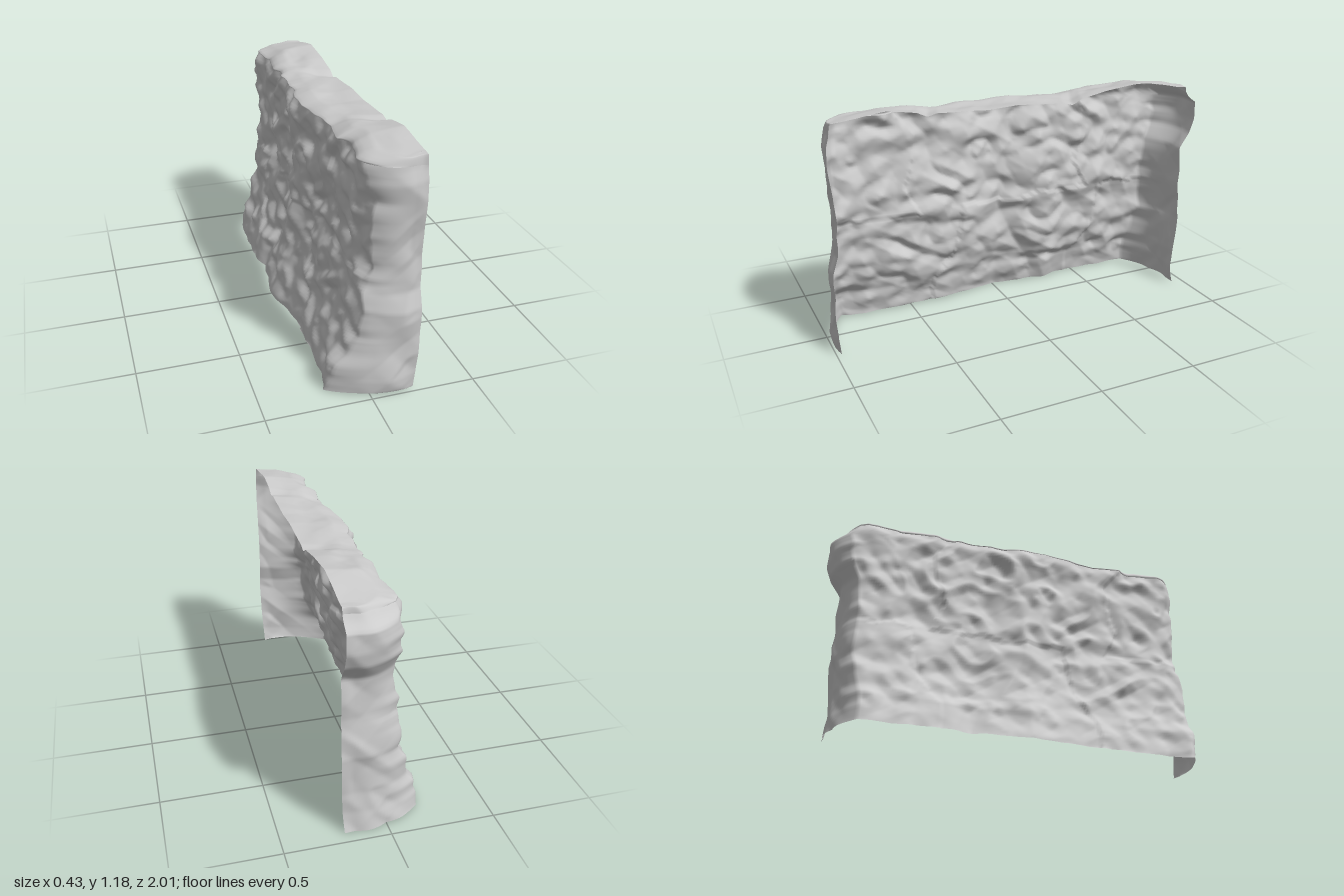
import * as THREE from 'three';

const { lerp, smoothstep } = THREE.MathUtils;

// Linear lookup in a short list of [position, value] pairs
function curve(points, t) {
  if (t <= points[0][0]) return points[0][1];
  for (let i = 1; i < points.length; i++) {
    const [a, va] = points[i - 1], [b, vb] = points[i];
    if (t <= b) return lerp(va, vb, (t - a) / (b - a));
  }
  return points[points.length - 1][1];
}

// Seeded value noise with straight interpolation, for crumpled rock facets
function hash(x, y, z) {
  const s = Math.sin(x * 127.1 + y * 311.7 + z * 74.7 + 3.1) * 43758.5453;
  return s - Math.floor(s);
}
function noise(x, y, z) {
  const i = Math.floor(x), j = Math.floor(y), k = Math.floor(z);
  const u = x - i, v = y - j, w = z - k;
  const edge = (b, c) => lerp(hash(i, b, c), hash(i + 1, b, c), u);
  return lerp(lerp(edge(j, k), edge(j + 1, k), v), lerp(edge(j, k + 1), edge(j + 1, k + 1), v), w) * 2 - 1;
}

// Lumps, slanting ridges and chips over the long face
function rock(y, z) {
  const lump = noise(2, y * 5 + z * 2, z * 5 - y * 2);
  const ridge = 0.65 - 2 * Math.abs(noise(7, y * 10 - z * 6, z * 7 + y * 6));
  const chip = noise(5, y * 19 + z * 7, z * 13 - y * 6);
  return 0.011 * lump + 0.015 * ridge + 0.017 * chip;
}

// Foot and shoulder of the wall along z, and how the foot fades out with height
const FOOT = [[-0.95, -0.12], [-0.86, -0.17], [-0.6, -0.19], [-0.4, -0.19], [-0.3, -0.17], [-0.1, -0.195], [0, -0.215], [0.15, -0.185], [0.3, -0.155], [0.65, -0.155], [0.75, -0.15], [0.87, -0.185], [0.97, -0.14]];
const SHOULDER_X = [[-0.95, -0.03], [-0.8, -0.045], [-0.4, -0.03], [-0.2, -0.025], [0, -0.06], [0.2, -0.04], [0.6, -0.02], [0.82, -0.015], [0.92, 0.01]];
const FLARE = [[0, 1], [0.15, 0.78], [0.2, 0.55], [0.28, 0.38], [0.33, 0.27], [0.48, 0.2], [0.55, 0.06], [0.7, 0.02], [0.9, 0.08], [1, 0.05], [1.07, 0.12], [1.11, 0.02]];
// Reach of the two ends, rounding of their corners, open edge, crest height
const FRONT_Z = [[0, 0.965], [0.1, 0.985], [0.2, 0.99], [0.44, 0.99], [0.53, 0.96], [0.8, 0.965], [1.05, 0.98], [1.11, 0.97]];
const BACK_Z = [[0, 0.945], [0.1, 0.925], [0.2, 0.92], [0.4, 0.94], [0.6, 0.915], [0.8, 0.92], [0.88, 0.97], [0.95, 0.99], [1.05, 0.995], [1.08, 0.955], [1.11, 0.935]];
const FRONT_ROUND = [[0, 0.09], [0.25, 0.07], [0.5, 0.05], [0.9, 0.055], [1.11, 0.1]];
const BACK_ROUND = [[0, 0.11], [0.25, 0.075], [0.8, 0.06], [1, 0.085], [1.11, 0.06]];
const LIP = [[0, 0.205], [0.2, 0.215], [0.35, 0.22]];
const CREST = [[-0.92, 1.14], [-0.65, 1.185], [-0.45, 1.165], [-0.25, 1.125], [0.05, 1.145], [0.2, 1.135], [0.5, 1.155], [0.7, 1.185], [0.95, 1.16]];
const SIDE = 26, SPAN = 150, COLS = SIDE * 2 + SPAN, ROWS = 92, CAP = 20, TOP = 1.11;

// Offsets of the big blocks, leaving ragged joints between them
function blockStep(y, z) {
  const lower = y < 0.57 + 0.025 * noise(1, 2, z * 9);
  const wander = 0.09 * noise(3, y * 7, 5);
  const a = (lower ? 0.31 : 0.55) + wander, b = (lower ? -0.52 : -0.42) + wander;
  const k = z > a ? 0 : z > b ? 1 : 2;
  return (lower ? [-0.006, 0.004, -0.004] : [0.004, -0.005, 0.005])[k];
}

function wallPoint(y, z) {
  const x = lerp(curve(SHOULDER_X, z), curve(FOOT, z), curve(FLARE, y));
  // stay close to the foot line at the ground
  return x + blockStep(y, z) - rock(y, z) * lerp(0.4, 1, smoothstep(y, 0, 0.15));
}

// End faces: from the open edge (t = 0) to the wall corner (t = 1)
function endPoint(s, t, y) {
  const front = s > 0;
  const round = curve(front ? FRONT_ROUND : BACK_ROUND, y);
  const corner = s * (curve(front ? FRONT_Z : BACK_Z, y) - round);
  const x = lerp(curve(LIP, y), wallPoint(y, corner), t);
  // the front shelf slants up toward the open edge
  const slant = front ? 0.3 * (0.22 - x) * (1 - t) : 0;
  const reach = curve(front ? FRONT_Z : BACK_Z, y + slant);
  const fold = noise(x * 5 + 4 + s * 3, y * 7 + x * 6, 1.5);
  const crease = 0.6 - 2 * Math.abs(noise(x * 6 + 20, y * 8 - x * 7, s * 3.5));
  const rough = (0.024 * fold + 0.018 * crease) * smoothstep(t, -0.3, 0.3) * (1 - t * t);
  return new THREE.Vector3(x, y, s * (reach + rough - round * Math.pow(t, 3)));
}

// Upright shell by column: front end, long wall, back end
function shellPoint(col, y) {
  if (col < SIDE) return endPoint(1, col / SIDE, y);
  if (col > SIDE + SPAN) return endPoint(-1, (COLS - col) / SIDE, y);
  const a = endPoint(1, 1, y).z, b = endPoint(-1, 1, y).z;
  const z = lerp(a, b, (col - SIDE) / SPAN);
  return new THREE.Vector3(wallPoint(y, z), y, z);
}

// Rocky ledge running from the wall top (t = 0) to the open edge (t = 1)
function capPoint(col, t) {
  const p = shellPoint(col, TOP);
  const bulge = 0.03 * Math.sin(Math.PI * Math.min(t * 4, 1));
  p.x = lerp(p.x, 0.22, t) - bulge * (1 - smoothstep(p.x, -0.03, 0.1));
  const rise = smoothstep(p.x, -0.15, 0.26);
  const crest = curve(CREST, p.z);
  p.y = lerp(TOP, lerp(1.13, crest, rise), smoothstep(t, 0, 0.3));
  // slanting notches where the blocks meet
  for (const cut of [-0.4, 0.36]) {
    const d = Math.abs(p.z - cut - rise * 0.15);
    p.y -= 0.016 * Math.max(0, 1 - d / 0.05) * t;
  }
  // lumps, calmer at the open edge
  const lumps = noise(p.x * 9, 3, p.z * 7 + p.x * 5) + 0.5 * noise(p.x * 14 + 5, 8, p.z * 13 - p.x * 9);
  p.y += 0.014 * lumps * smoothstep(t, 0, 0.25) * (1.15 - t);
  // ends round inward
  p.z *= 1 - 0.035 * smoothstep(Math.abs(p.z), 0.75, 0.95) * smoothstep(t, 0, 0.9);
  return p;
}

function sheet(cols, rows, pointAt) {
  const pos = [], idx = [];
  for (let j = 0; j <= rows; j++)
    for (let i = 0; i <= cols; i++) pos.push(...pointAt(i, j).toArray());
  for (let j = 0; j < rows; j++)
    for (let i = 0; i < cols; i++) {
      const a = j * (cols + 1) + i, c = a + cols + 1;
      idx.push(a, c, a + 1, a + 1, c, c + 1);
    }
  const g = new THREE.BufferGeometry();
  g.setAttribute('position', new THREE.Float32BufferAttribute(pos, 3));
  g.setIndex(idx);
  g.computeVertexNormals();
  return g;
}

export function createModel() {
  const group = new THREE.Group();
  group.name = 'rockWall';
  const stone = new THREE.MeshStandardMaterial({ color: 0xcccccc, roughness: 0.9, side: THREE.DoubleSide });
  const add = (name, geometry) => {
    const mesh = new THREE.Mesh(geometry, stone);
    mesh.name = name;
    group.add(mesh);
  };

  // Upright face with both ends, open underneath and behind
  add('cliffFace', sheet(COLS, ROWS, (i, j) => {
    const p = shellPoint(i, (j / ROWS) * TOP);
    if (j === 0) p.y = 0.012 * Math.abs(noise(2, 6, p.z * 5));
    return p;
  }));

  // Ledge on top
  add('topLedge', sheet(COLS, CAP, (i, j) => capPoint(i, j / CAP)));
  return group;
}
